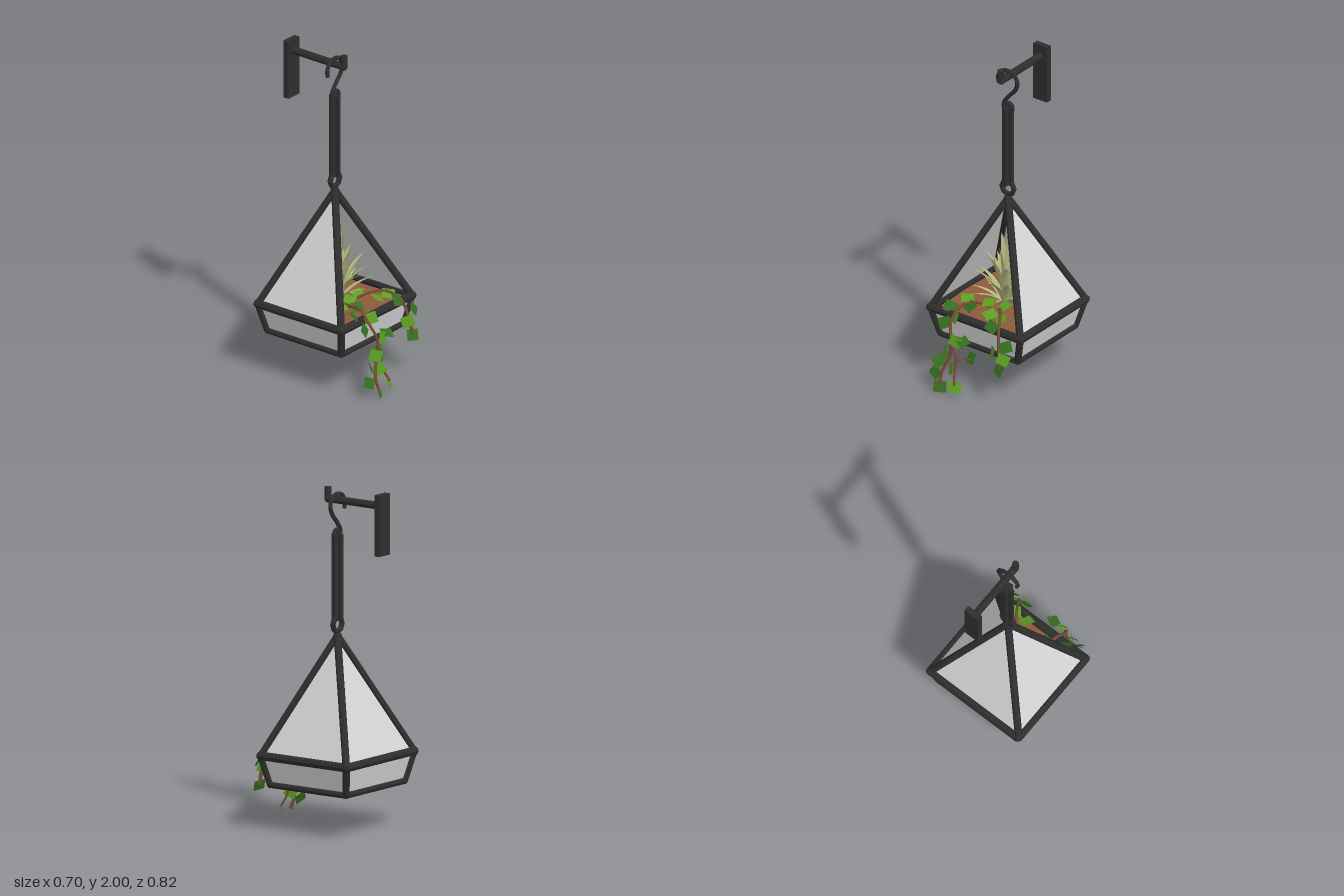
import * as THREE from 'three';

const mat = (name, color, extra = {}) => {
  const m = new THREE.MeshStandardMaterial({ color, ...extra });
  m.name = name;
  return m;
};
const V = (x, y, z) => new THREE.Vector3(x, y, z);
const CZ = -0.065; // depth of the hanging axis

export function createModel() {
  const metal = mat('blackMetal', 0x2e2e2e, { flatShading: true });
  const glass = mat('paleGlass', 0xd6d6d6, { side: THREE.DoubleSide });
  const soilMat = mat('soil', 0x8d5a3c);
  const stemMat = mat('stem', 0x7c4c34);
  const spikeMat = mat('paleLeaf', 0xb4b67c, { side: THREE.DoubleSide });
  const brightLeaf = mat('brightLeaf', 0x5a9f22, { side: THREE.DoubleSide });
  const darkLeaf = mat('darkLeaf', 0x356e20, { side: THREE.DoubleSide });

  const model = new THREE.Group();
  model.name = 'hangingTerrarium';
  const group = (name) => {
    const g = new THREE.Group();
    g.name = name;
    model.add(g);
    return g;
  };
  const add = (parent, name, geo, material, x = 0, y = 0, z = 0) => {
    const m = new THREE.Mesh(geo, material);
    m.name = name;
    m.position.set(x, y, z);
    parent.add(m);
    return m;
  };
  const bar = (parent, name, a, b, r) => {
    const m = add(parent, name, new THREE.CylinderGeometry(r, r, a.distanceTo(b), 8), metal);
    m.position.copy(a).lerp(b, 0.5);
    m.quaternion.setFromUnitVectors(V(0, 1, 0), b.clone().sub(a).normalize());
  };
  const tube = (parent, name, pts, r, material, sides = 6, segs = 40) =>
    add(parent, name, new THREE.TubeGeometry(new THREE.CatmullRomCurve3(pts), segs, r, sides), material);
  const panel = (parent, name, pts, material) => {
    const geo = new THREE.BufferGeometry().setFromPoints(pts);
    geo.setIndex(pts.length === 3 ? [0, 1, 2] : [0, 1, 2, 0, 2, 3]);
    geo.computeVertexNormals();
    add(parent, name, geo, material);
  };

  // Frame corners, counter-clockwise from above, starting front right
  const corners = (hx, hz, y) =>
    [[-1, 1], [1, 1], [1, -1], [-1, -1]].map(([sx, sz]) => V(sx * hx, y, CZ + sz * hz));
  const rim = corners(0.325, 0.308, 0.44);
  const base = corners(0.28, 0.272, 0.268);
  const apex = V(0, 1.13, CZ);
  const sides = ['front', 'left', 'back', 'right'];

  // Metal frame and glass panes; the upper front stays open
  const frame = group('frame');
  const panes = group('panes');
  for (let i = 0; i < 4; i++) {
    const j = (i + 1) % 4;
    bar(frame, sides[i] + 'RimBar', rim[i], rim[j], 0.026);
    bar(frame, sides[i] + 'BaseBar', base[i], base[j], 0.02);
    bar(frame, 'slopeBar', rim[i], apex, 0.022);
    bar(frame, 'cornerBar', base[i], rim[i], 0.021);
    add(frame, 'rimJoint', new THREE.SphereGeometry(0.027, 8, 6), metal, ...rim[i].toArray());
    add(frame, 'baseJoint', new THREE.SphereGeometry(0.021, 8, 6), metal, ...base[i].toArray());
    if (i > 0) panel(panes, sides[i] + 'UpperPane', [rim[i], rim[j], apex], glass);
    panel(panes, sides[i] + 'LowerPane', [base[i], base[j], rim[j], rim[i]], glass);
  }
  add(frame, 'apexJoint', new THREE.SphereGeometry(0.026, 8, 6), metal, 0, 1.13, CZ);
  add(frame, 'basePlate', new THREE.BoxGeometry(0.56, 0.02, 0.544), metal, 0, 0.26, CZ);

  // Soil: a box narrowed at the bottom with a slightly uneven top
  const soilGeo = new THREE.BoxGeometry(0.6, 0.15, 0.58, 10, 1, 10);
  const sp = soilGeo.attributes.position;
  for (let i = 0; i < sp.count; i++) {
    const x = sp.getX(i), z = sp.getZ(i);
    if (sp.getY(i) < 0) sp.setXYZ(i, x * 0.88, -0.075, z * 0.9);
    else sp.setY(i, 0.075 + 0.006 * Math.sin(x * 14) * Math.cos(z * 11));
  }
  soilGeo.computeVertexNormals();
  add(model, 'soil', soilGeo, soilMat, 0, 0.355, CZ);

  // Ring, cross-section link and hook
  const hanger = group('hanger');
  add(hanger, 'ring', new THREE.TorusGeometry(0.044, 0.016, 6, 8), metal, 0, 1.2, CZ);
  add(hanger, 'linkWide', new THREE.BoxGeometry(0.069, 0.51, 0.02), metal, 0, 1.475, CZ);
  add(hanger, 'linkDeep', new THREE.BoxGeometry(0.02, 0.51, 0.069), metal, 0, 1.475, CZ);
  const hook = [[-0.066, 1.87], [-0.07, 1.91], [-0.045, 1.952], [0, 1.965], [0.045, 1.95], [0.068, 1.905],
    [0.052, 1.855], [0.005, 1.8], [-0.028, 1.75], [-0.025, 1.71], [0.004, 1.692], [0.03, 1.715],
    [0.025, 1.75], [0, 1.755], [-0.006, 1.732]].map(([x, y]) => V(x, y, CZ));
  tube(hanger, 'hook', hook, 0.013, metal, 6, 70);

  // Wall bracket
  const bracket = group('bracket');
  add(bracket, 'wallPlate', new THREE.BoxGeometry(0.1, 0.36, 0.036), metal, 0, 1.82, -0.387);
  bar(bracket, 'arm', V(0, 1.93, -0.38), V(0, 1.93, -0.005), 0.023);
  add(bracket, 'elbow', new THREE.SphereGeometry(0.024, 8, 6), metal, 0, 1.93, 0);
  bar(bracket, 'armTip', V(0, 1.93, 0.003), V(0, 2, 0.003), 0.02);

  // Spiky plant: arching, folded, tapering blades [angle, reach, height, width]
  const plant = group('spikyPlant');
  const blade = (angle, reach, height, width) => {
    const pos = [], idx = [], n = 8;
    const dx = Math.cos(angle), dz = Math.sin(angle);
    for (let i = 0; i <= n; i++) {
      const t = i / n;
      const out = 0.015 + reach * Math.pow(t, 1.5);
      const y = 0.425 + height * (1.25 * t - 0.25 * t * t * t);
      const w = width * (0.65 + 0.9 * t) * (1 - t * t);
      for (const s of [-1, 0, 1]) {
        const o = out - (s ? w * 0.45 : 0);
        pos.push(dx * o - dz * w * s, y + (s ? w * 0.3 : 0), CZ + 0.02 + dz * o + dx * w * s);
      }
      if (i < n) for (const k of [0, 1]) {
        const a = i * 3 + k;
        idx.push(a, a + 3, a + 1, a + 1, a + 3, a + 4);
      }
    }
    const geo = new THREE.BufferGeometry();
    geo.setAttribute('position', new THREE.Float32BufferAttribute(pos, 3));
    geo.setIndex(idx);
    geo.computeVertexNormals();
    add(plant, 'blade', geo, spikeMat);
  };
  const rings = [
    { count: 4, reach: 0.035, height: 0.45, width: 0.026, turn: 0.4 },
    { count: 7, reach: 0.11, height: 0.35, width: 0.026, turn: 0.9 },
    { count: 9, reach: 0.17, height: 0.24, width: 0.023, turn: 0.2 },
    { count: 9, reach: 0.19, height: 0.13, width: 0.02, turn: 0.55 },
  ];
  for (const r of rings) for (let i = 0; i < r.count; i++) {
    const vary = 1 + 0.12 * Math.sin(i * 2.3 + r.turn * 5);
    blade(r.turn + (i / r.count) * Math.PI * 2, r.reach * vary, r.height * vary, r.width);
  }

  // Trailing vines
  const vines = group('vines');
  const vine = (pts, r) => tube(vines, 'stem', pts.map((p) => V(...p)), r, stemMat, 6, 30);
  vine([[-0.06, 0.42, 0], [-0.1, 0.48, 0.1], [-0.125, 0.5, 0.22], [-0.135, 0.43, 0.3], [-0.105, 0.33, 0.335],
    [-0.115, 0.23, 0.335], [-0.155, 0.12, 0.36], [-0.15, 0.04, 0.385]], 0.009);
  vine([[-0.108, 0.3, 0.335], [-0.075, 0.24, 0.33], [-0.07, 0.14, 0.35], [-0.05, 0.07, 0.38]], 0.007);
  vine([[-0.07, 0.2, 0.335], [-0.04, 0.22, 0.3], [-0.015, 0.2, 0.27]], 0.005);
  vine([[0, 0.42, 0.01], [0.06, 0.49, 0.09], [0.14, 0.52, 0.19], [0.19, 0.47, 0.27], [0.215, 0.36, 0.305],
    [0.235, 0.25, 0.32]], 0.009);

  // Vine leaves: position, tilt back towards the sky, bright or dark
  const leaves = [
    [-0.155, 0.5, 0.115, 1.2, 1], [-0.035, 0.49, 0.07, 1.2, 1], [-0.09, 0.49, 0.175, 0.9, 0],
    [-0.19, 0.48, 0.23, 0.8, 0], [-0.11, 0.46, 0.29, 0.4, 1], [-0.18, 0.41, 0.3, 0.4, 0],
    [-0.07, 0.34, 0.345, 0.2, 1], [-0.14, 0.25, 0.35, 0.15, 1], [-0.18, 0.18, 0.35, 0.5, 0],
    [-0.02, 0.21, 0.26, 0.5, 0], [-0.205, 0.1, 0.355, 0.4, 0], [-0.15, 0.035, 0.385, 0.3, 0],
    [-0.1, 0.15, 0.345, 0.2, 1], [-0.05, 0.06, 0.375, 0.3, 1], [-0.02, 0.35, 0.335, 1.1, 0],
    [0.065, 0.49, 0.05, 1.2, 1], [0.07, 0.5, 0.195, 1.1, 1], [0.155, 0.5, 0.205, 1, 1],
    [0.145, 0.48, 0.28, 0.6, 0], [0.265, 0.395, 0.305, 0.5, 0], [0.185, 0.345, 0.325, 0.2, 1],
    [0.25, 0.31, 0.31, 0.2, 1], [0.23, 0.245, 0.325, 0.4, 0],
  ];
  leaves.forEach(([x, y, z, tilt, bright], i) => {
    const geo = new THREE.PlaneGeometry(0.075, 0.066);
    const leaf = add(vines, 'vineLeaf', geo, bright ? brightLeaf : darkLeaf, x, y, z);
    leaf.rotation.set(-tilt, 0.75 * Math.sin(i * 2.4 + 1), 0.5 * Math.sin(i * 1.7), 'YXZ');
  });

  return model;
}
